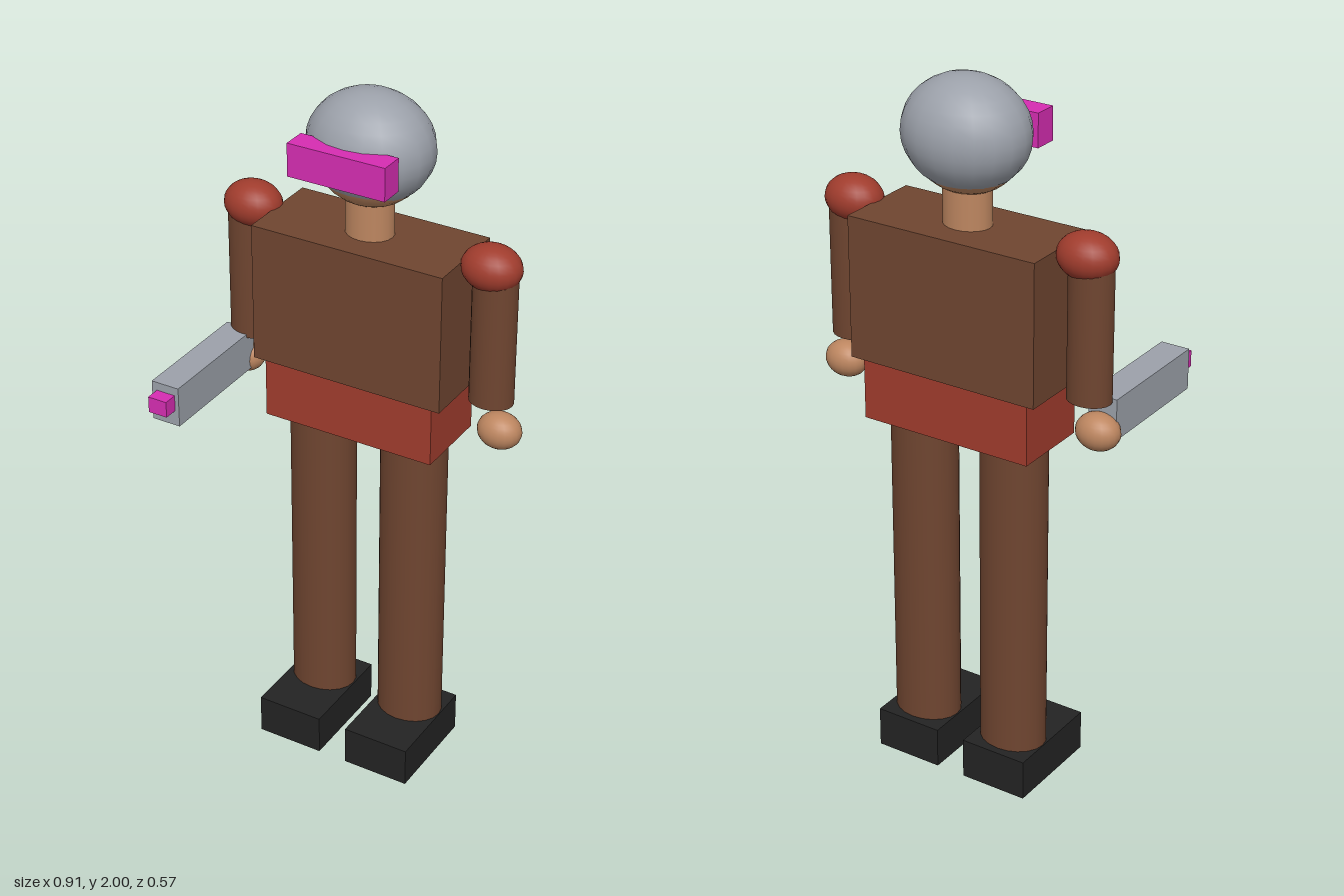
import * as THREE from 'three';

const mat = (name, color) => {
  const m = new THREE.MeshStandardMaterial({ color });
  m.name = name;
  return m;
};

export function createModel() {
  const brown = mat('brown cloth', 0x6f4530);
  const red = mat('red cloth', 0xa03c2d);
  const skin = mat('skin', 0xbd8660);
  const grey = mat('grey metal', 0x9ca1aa);
  const black = mat('black leather', 0x232323);
  const pink = mat('glowing pink', 0xd62db2);

  const model = new THREE.Group();
  model.name = 'armedFigure';
  const Z = -0.137; // depth of the body's centre line

  const add = (name, geometry, material, x, y, z) => {
    const mesh = new THREE.Mesh(geometry, material);
    mesh.name = name;
    mesh.position.set(x, y, z);
    model.add(mesh);
    return mesh;
  };
  // Box given by its limits on each axis
  const box = (name, material, [x0, x1], [y0, y1], [z0, z1]) =>
    add(name, new THREE.BoxGeometry(x1 - x0, y1 - y0, z1 - z0), material,
      (x0 + x1) / 2, (y0 + y1) / 2, (z0 + z1) / 2);
  // Sphere stretched to three radii
  const ball = (name, material, x, y, z, rx, ry, rz) =>
    add(name, new THREE.SphereGeometry(1, 20, 16).scale(rx, ry, rz), material, x, y, z);
  // Upright column with an oval section
  const column = (name, material, x, y0, y1, rx, rz) =>
    add(name, new THREE.CylinderGeometry(1, 1, y1 - y0, 20).scale(rx, 1, rz), material,
      x, (y0 + y1) / 2, Z);

  // Trunk
  box('torso', brown, [-0.282, 0.282], [1.21, 1.605], [-0.265, -0.01]);
  box('hips', red, [-0.253, 0.253], [1.035, 1.21], [-0.25, -0.022]);

  // Head, helmet and visor
  column('neck', skin, 0, 1.6, 1.75, 0.067, 0.057);
  ball('head', skin, 0, 1.83, Z, 0.155, 0.14, 0.13);
  ball('helmet', grey, 0, 1.85, -0.14, 0.175, 0.15, 0.147);
  box('visor', pink, [-0.141, 0.141], [1.8, 1.892], [-0.032, 0.036]);

  // Limbs on both sides
  for (const [side, s] of [['left', 1], ['right', -1]]) {
    column(side + 'Leg', brown, s * 0.142, 0.1, 1.04, 0.096, 0.08);
    const boot = box(side + 'Boot', black, [0.043, 0.24], [0, 0.117], [-0.238, 0.06]);
    boot.position.x *= s;
    column(side + 'Arm', brown, s * 0.367, 1.21, 1.6, 0.062, 0.051);
    ball(side + 'Shoulder', red, s * 0.355, 1.598, Z, 0.083, 0.063, 0.068);
    ball(side + 'Hand', skin, s * 0.395, 1.128, Z, 0.062, 0.051, 0.05);
  }

  // Weapon held in the right hand
  box('gunBody', grey, [-0.438, -0.355], [1.105, 1.22], [-0.12, 0.245]);
  box('gunMuzzle', pink, [-0.423, -0.367], [1.15, 1.196], [0.24, 0.285]);

  return model;
}
